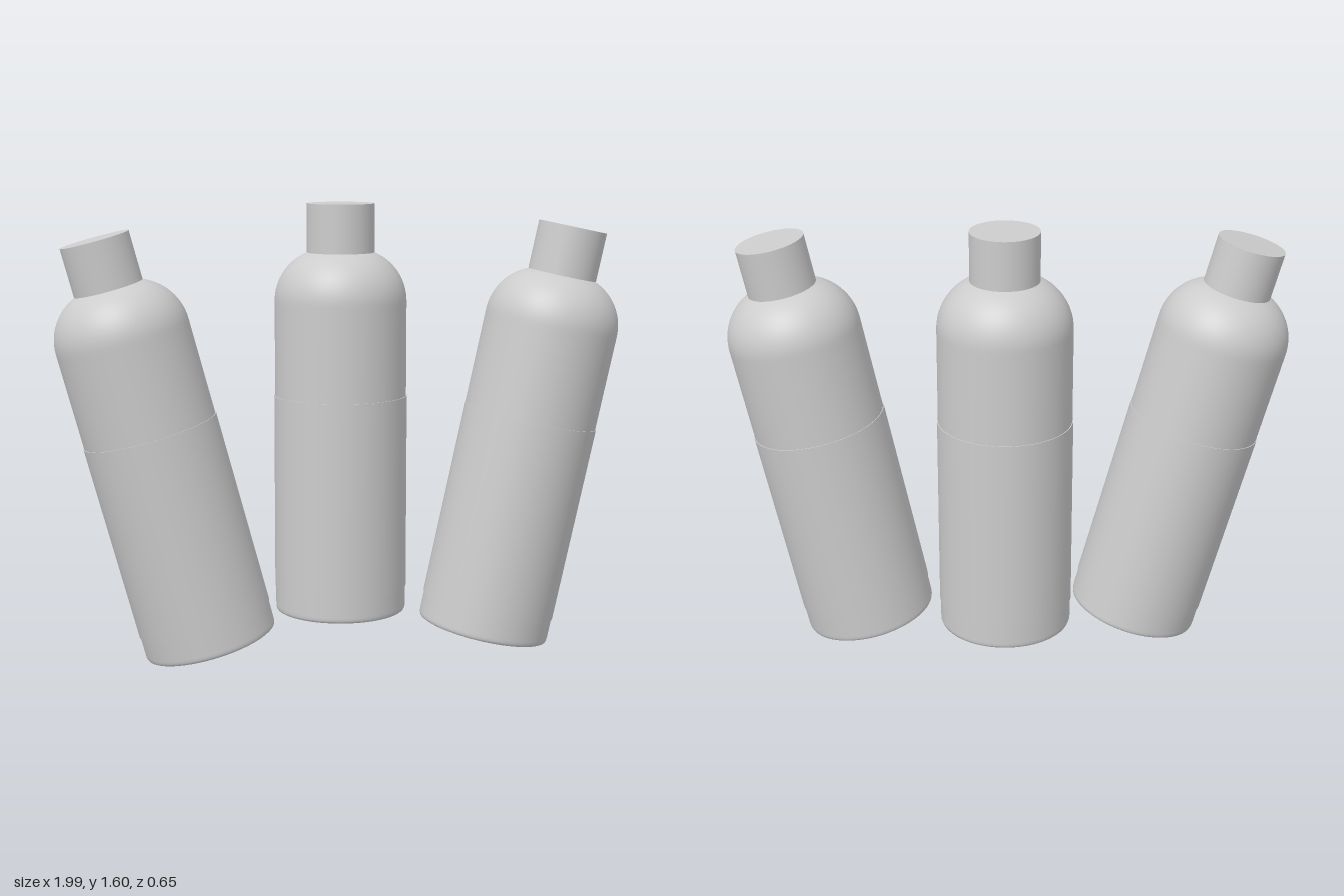
import * as THREE from 'three';

const SEGMENTS = 64;

function createBottle(name, plastic) {
  const bottle = new THREE.Group();
  bottle.name = name;
  const add = (part, geometry, y = 0) => {
    const mesh = new THREE.Mesh(geometry, plastic);
    mesh.name = part;
    mesh.position.y = y;
    bottle.add(mesh);
    return mesh;
  };

  // Body wall: softly rounded foot, straight side, domed shoulder
  const wall = [[0.229, 0], [0.234, 0.003], [0.2365, 0.01], [0.237, 0.02], [0.237, 0.6], [0.237, 1.12]]
    .map(([r, y]) => new THREE.Vector2(r, y));
  for (let i = 0; i <= 16; i++) {
    const a = (i / 16) * THREE.MathUtils.degToRad(68);
    wall.push(new THREE.Vector2(0.05 + 0.187 * Math.cos(a), 1.137 + 0.187 * Math.sin(a)));
  }
  add('body', new THREE.LatheGeometry(wall, SEGMENTS));

  // Flat underside
  add('base', new THREE.CircleGeometry(0.229, SEGMENTS)).rotation.x = Math.PI / 2;

  // Thin sleeve wrapped around the body
  add('label', new THREE.CylinderGeometry(0.24, 0.24, 0.705, SEGMENTS, 1), 0.4425);

  // Neck and screw cap
  add('neck', new THREE.CylinderGeometry(0.116, 0.116, 0.06, SEGMENTS), 1.3);
  add('cap', new THREE.CylinderGeometry(0.122, 0.122, 0.174, SEGMENTS), 1.398);
  return bottle;
}

export function createModel() {
  const model = new THREE.Group();
  model.name = 'bottles';
  const plastic = new THREE.MeshStandardMaterial({ color: 0xcccccc });
  plastic.name = 'light grey plastic';

  // Base centre and sideways lean in degrees of each bottle
  const placements = [
    ['rightBottle', -0.468, 0.065, 0.083, 15],
    ['middleBottle', 0.022, 0.125, -0.087, 0],
    ['leftBottle', 0.522, 0.078, 0.083, -12],
  ];
  for (const [name, x, y, z, lean] of placements) {
    const bottle = createBottle(name, plastic);
    bottle.position.set(x, y, z);
    bottle.rotation.z = THREE.MathUtils.degToRad(lean);
    model.add(bottle);
  }
  return model;
}
